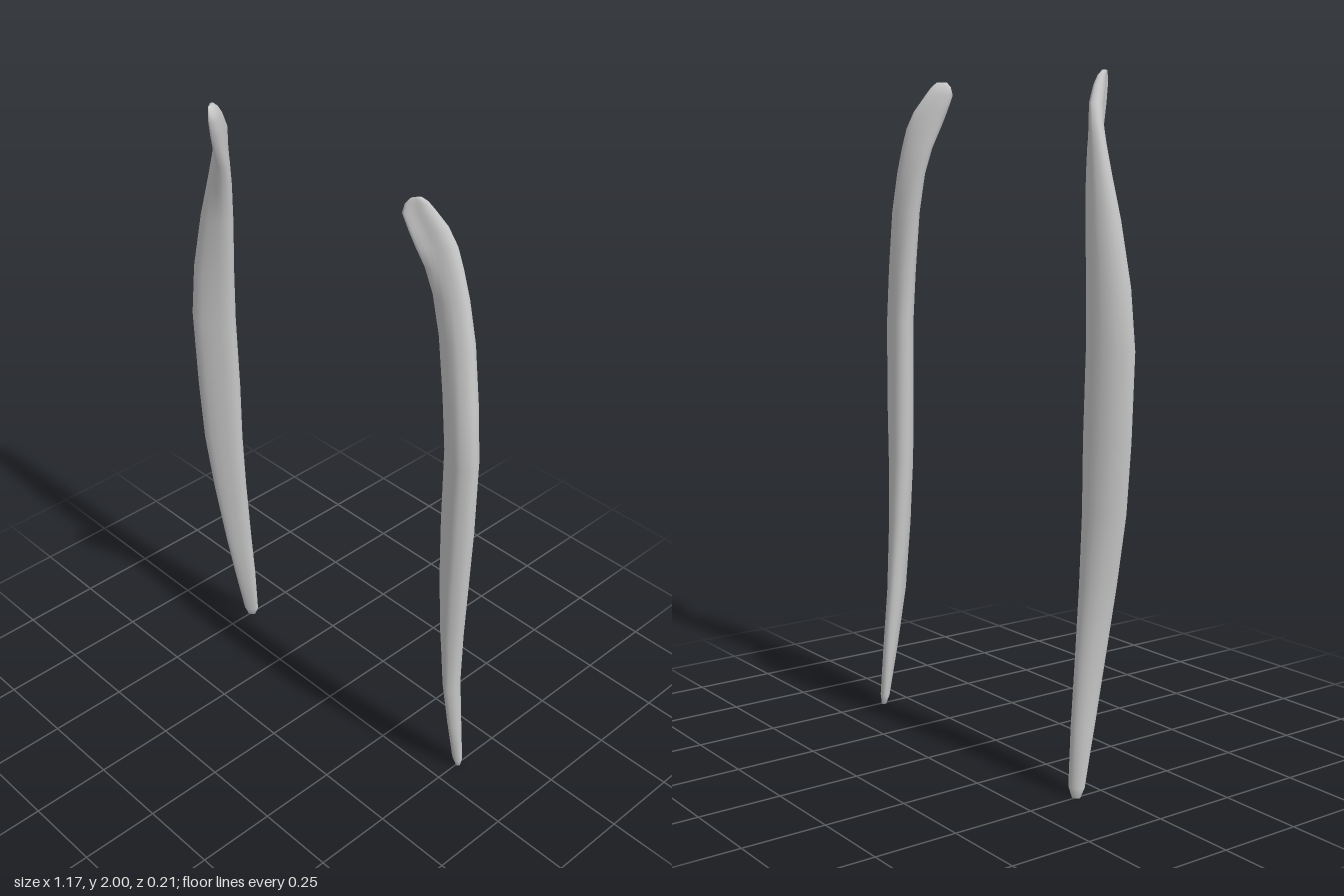
import * as THREE from 'three';

// Cross-section stations: y, x min, x max, z min, z max, blend from lens to diagonal
const STATIONS = [
  [0.00, 0.487, 0.510, -0.098, -0.078, 0],
  [0.03, 0.473, 0.519, -0.102, -0.066, 0],
  [0.20, 0.466, 0.521, -0.091, -0.030, 0],
  [0.38, 0.460, 0.526, -0.075, 0.003, 0],
  [0.60, 0.453, 0.548, -0.059, 0.030, 0],
  [0.80, 0.449, 0.568, -0.050, 0.047, 0],
  [1.00, 0.446, 0.580, -0.048, 0.053, 0],
  [1.25, 0.449, 0.586, -0.043, 0.057, 0],
  [1.42, 0.439, 0.570, -0.040, 0.057, 0.1],
  [1.60, 0.422, 0.540, -0.037, 0.050, 0.3],
  [1.72, 0.405, 0.510, -0.029, 0.048, 0.55],
  [1.80, 0.391, 0.485, -0.021, 0.058, 0.8],
  [1.86, 0.381, 0.463, -0.014, 0.076, 1],
  [1.91, 0.372, 0.442, 0.000, 0.093, 1],
  [1.96, 0.363, 0.420, 0.030, 0.107, 1],
  [1.985, 0.370, 0.410, 0.048, 0.103, 1],
  [2.00, 0.382, 0.402, 0.066, 0.094, 1],
];

// Matching section outlines in a -1..1 box: inner, front, outer, back
const LENS = [[-1, -0.4], [-0.65, 0.25], [0.4, 0.97], [1, 0.4], [0.7, -0.5], [0, -1], [-0.75, -0.95]];
const DIAGONAL = [[-1, 0.55], [-0.7, 1], [-0.05, 0.4], [0.8, -0.2], [1, -0.75], [0.5, -1], [-0.45, -0.3]];
const SIDES = 21;

function ring([y, x0, x1, z0, z1, blend]) {
  const corners = LENS.map(([u, v], i) => new THREE.Vector3(
    THREE.MathUtils.lerp(u, DIAGONAL[i][0], blend), 0,
    THREE.MathUtils.lerp(v, DIAGONAL[i][1], blend)));
  const curve = new THREE.CatmullRomCurve3(corners, true, 'centripetal');
  return Array.from({ length: SIDES }, (_, i) => {
    const p = curve.getPoint(i / SIDES);
    return [(x0 + x1) / 2 + p.x * (x1 - x0) / 2, y, (z0 + z1) / 2 + p.z * (z1 - z0) / 2];
  });
}

// Skin the rings and close both ends; side is +1 or -1 in x
function stripGeometry(side) {
  const positions = [], index = [];
  const tri = (a, b, c) => index.push(...(side > 0 ? [a, b, c] : [a, c, b]));
  const rings = STATIONS.map(ring);
  rings.forEach(r => r.forEach(([x, y, z]) => positions.push(side * x, y, z)));
  for (let i = 0; i < rings.length - 1; i++) {
    for (let j = 0; j < SIDES; j++) {
      const a = i * SIDES + j, b = i * SIDES + (j + 1) % SIDES;
      tri(a, b, b + SIDES);
      tri(a, b + SIDES, a + SIDES);
    }
  }
  for (const end of [0, rings.length - 1]) {
    const [y, x0, x1, z0, z1] = STATIONS[end];
    const centre = positions.length / 3, base = end * SIDES;
    positions.push(side * (x0 + x1) / 2, y, (z0 + z1) / 2);
    for (let j = 0; j < SIDES; j++) {
      const a = base + j, b = base + (j + 1) % SIDES;
      if (end) tri(a, b, centre);
      else tri(b, a, centre);
    }
  }
  const geometry = new THREE.BufferGeometry();
  geometry.setAttribute('position', new THREE.Float32BufferAttribute(positions, 3));
  geometry.setIndex(index);
  geometry.computeVertexNormals();
  return geometry;
}

export function createModel() {
  const model = new THREE.Group();
  model.name = 'curvedStripPair';
  const grey = new THREE.MeshStandardMaterial({ color: 0xc8c8c8 });
  grey.name = 'light grey';

  // Mirrored pair of curved strips
  for (const side of [1, -1]) {
    const strip = new THREE.Mesh(stripGeometry(side), grey);
    strip.name = side > 0 ? 'leftStrip' : 'rightStrip';
    model.add(strip);
  }
  return model;
}
